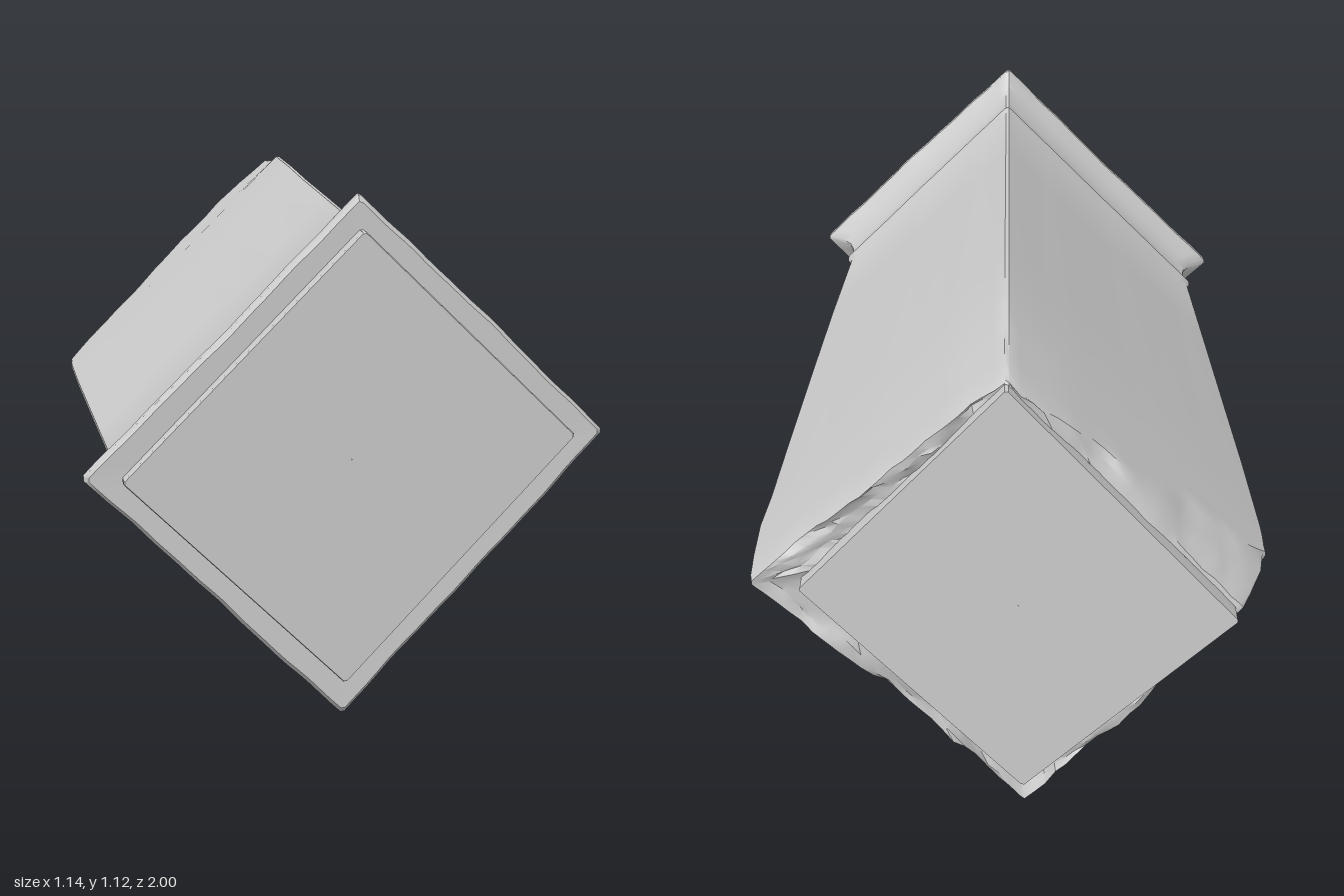
import * as THREE from 'three';
import { toCreasedNormals } from 'three/addons/utils/BufferGeometryUtils.js';

const CX = -0.01, CY = 0.575, N = 24; // axis of the block, samples per side
const lerp = THREE.MathUtils.lerp;
const smooth = THREE.MathUtils.smoothstep;

// Parameters round the diamond: side + position, with a tiny bevel at corners
const US = [];
for (let s = 0; s < 4; s++)
  for (let i = 0; i < N; i++) US.push(s + lerp(0.008, 0.992, i / (N - 1)));

// Gentle repeatable roughness
const rough = (u, k) =>
  0.5 * Math.sin(u * 7.3 + k * 2.1) + 0.3 * Math.sin(u * 17.9 + k * 5.3) + 0.2 * Math.sin(u * 37.1 + k * 9.7);

// Point on a diamond given by [top y, right x, bottom y, left x]
function onDiamond([top, right, bottom, left], u) {
  const c = [[0.015, top], [right, 0.615], [-0.02, bottom], [left, 0.535]];
  const i = Math.floor(u) % 4, f = u - Math.floor(u), a = c[i], b = c[(i + 1) % 4];
  return [lerp(a[0], b[0], f), lerp(a[1], b[1], f)];
}

// Ring of points; z and scale may vary round the perimeter
function ring(d, z, scale = () => 1) {
  return US.map((u) => {
    const [x, y] = onDiamond(d, u), s = scale(u);
    const px = CX + (x - CX) * s, py = CY + (y - CY) * s;
    return [px, py, typeof z === 'function' ? z(u, px, py) : z];
  });
}

// Skin between rings listed from front to back
function loft(name, rings, crease) {
  const n = US.length, index = [];
  for (let i = 0; i < rings.length - 1; i++)
    for (let j = 0; j < n; j++) {
      const a = i * n + j, b = i * n + ((j + 1) % n);
      index.push(a, b, a + n, b, b + n, a + n);
    }
  const g = new THREE.BufferGeometry();
  g.setAttribute('position', new THREE.Float32BufferAttribute(rings.flat(2), 3));
  g.setIndex(index);
  const mesh = new THREE.Mesh(
    toCreasedNormals(g, crease),
    new THREE.MeshStandardMaterial({ color: 0xcccccc, side: THREE.DoubleSide })
  );
  mesh.name = name;
  return mesh;
}

// Broken back edge: z at each corner and side middle, from the top clockwise
const EDGE = [-0.93, -0.95, -0.945, -0.93, -0.94, -0.93, -0.72, -0.88];
function edgeZ(u) {
  const v = u * 2, i = Math.floor(v) % 8;
  const z = lerp(EDGE[i], EDGE[(i + 1) % 8], v - Math.floor(v));
  return Math.max(-0.955, z + 0.02 * rough(u, 1) + 0.012 * rough(u * 2.3, 4));
}

export function createModel() {
  const group = new THREE.Group();
  group.name = 'brokenPillar';

  // Square plinth under the moulding
  const plinthD = [1.055, 0.47, 0.085, -0.49];
  const frontZ = (u, x, y) => 0.983 + 0.016 * (y - 0.1);
  group.add(loft('plinth', [
    ring(plinthD, frontZ, () => 0.002),
    ring(plinthD, frontZ, () => 0.993),
    ring(plinthD, (u, x, y) => frontZ(u, x, y) - 0.008),
    ring(plinthD, 0.93),
  ], 0.6));

  // Moulding profile and tapering shaft: z, then the four corner distances
  const profile = [
    [0.945, 1.03, 0.45, 0.1, -0.47],
    [0.947, 1.115, 0.535, 0.015, -0.56],
    [0.935, 1.128, 0.546, 0.003, -0.571],
    [0.915, 1.13, 0.548, 0.0, -0.572],
    [0.9, 1.115, 0.525, 0.02, -0.55],
    [0.88, 1.095, 0.495, 0.055, -0.523],
    [0.855, 1.08, 0.478, 0.08, -0.507],
    [0.82, 1.07, 0.468, 0.092, -0.5],
    [0.78, 1.066, 0.465, 0.093, -0.503],
    [0.768, 1.075, 0.477, 0.084, -0.514],
    [0.75, 1.077, 0.478, 0.083, -0.515],
    [0.738, 1.07, 0.467, 0.09, -0.507],
    [0.4, 1.084, 0.494, 0.073, -0.525],
    [0.0, 1.1, 0.522, 0.055, -0.546],
    [-0.3, 1.115, 0.542, 0.042, -0.562],
    [-0.6, 1.126, 0.561, 0.033, -0.575],
  ];
  const rings = profile.map(([z, ...d], k) => {
    const wear = k > 0 && k < 5 ? 0.008 : 0.002;
    return ring(d, z, (u) => 1 + wear * (rough(u, 2) - 0.4));
  });

  // Chipped back end: torn edge, then a rough slope down to the end slab
  const backD = [1.115, 0.572, 0.023, -0.575];
  const topChip = (u) => 1 - 0.035 * (1 - smooth(Math.min(u, 4 - u), 0.02, 0.25));
  for (const t of [0.35, 0.7, 0.93])
    rings.push(ring(backD, (u) => lerp(-0.6, edgeZ(u), t),
      (u) => lerp(1, topChip(u), t) + 0.003 * rough(u, t * 5)));
  rings.push(ring(backD, edgeZ, (u) => topChip(u) - 0.012 + 0.006 * rough(u, 6)));
  for (const [t, s] of [[0.35, 0.955], [0.7, 0.915], [0.95, 0.87], [1, 0.8]])
    rings.push(ring(backD, (u) => lerp(edgeZ(u), -0.935, t) + 0.012 * rough(u * 1.7, t * 9),
      (u) => s + 0.018 * rough(u * 2.1, t * 7)));
  group.add(loft('shaftWithMoulding', rings, 0.7));

  // Slightly tilted slab closing the broken end
  const slabD = [1.085, 0.46, 0.105, -0.485];
  const backZ = (u, x, y) => -0.962 - 0.037 * (1.085 - y);
  group.add(loft('endSlab', [
    ring(slabD, -0.86, () => 0.96),
    ring(slabD, -0.93),
    ring(slabD, backZ),
    ring(slabD, backZ, () => 0.002),
  ], 0.6));

  return group;
}
